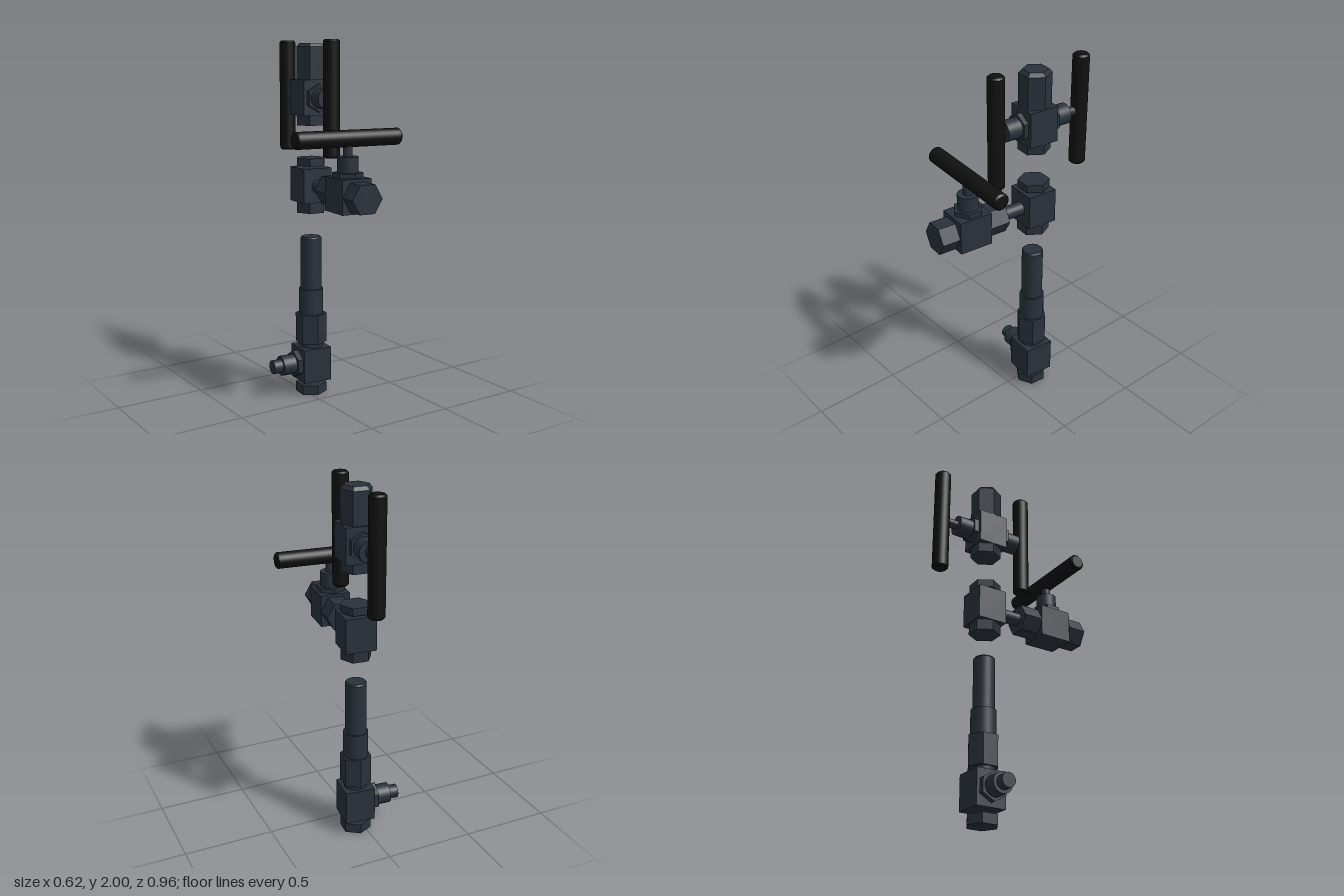
import * as THREE from 'three';

const steel = new THREE.MeshStandardMaterial({ color: 0x29313b });
const steelFlat = new THREE.MeshStandardMaterial({ color: 0x29313b, flatShading: true });
const black = new THREE.MeshStandardMaterial({ color: 0x111111 });

// Empty group whose local y is the axis of the parts inside it
function axis(parent, name, pos, rot = [0, 0, 0]) {
  const g = new THREE.Group();
  g.name = name;
  g.position.set(...pos);
  g.rotation.set(...rot);
  parent.add(g);
  return g;
}

function add(parent, name, geo, mat) {
  const m = new THREE.Mesh(geo, mat);
  m.name = name;
  parent.add(m);
  return m;
}

// Round section between heights a and b
function round(parent, name, r, a, b, r2 = r, mat = steel) {
  const geo = new THREE.CylinderGeometry(r2, r, b - a, 28);
  return add(parent, name, geo.translate(0, (a + b) / 2, 0), mat);
}

// Hexagonal section; spin turns the corners from z to x
function hex(parent, name, r, a, b, spin = false, r2 = r) {
  const geo = new THREE.CylinderGeometry(r2, r, b - a, 6);
  if (spin) geo.rotateY(Math.PI / 6);
  return add(parent, name, geo.translate(0, (a + b) / 2, 0), steelFlat);
}

function block(parent, name, s, a, b, depth = s) {
  const geo = new THREE.BoxGeometry(s, b - a, depth);
  return add(parent, name, geo.translate(0, (a + b) / 2, 0), steel);
}

// Bar handle with bevelled ends, centred on its own middle
function handle(parent, pos, rot) {
  const g = axis(parent, 'handleBar', pos, rot);
  const h = 0.31, r = 0.045, c = 0.01;
  round(g, 'grip', r, -h + c, h - c, r, black);
  round(g, 'gripEnd', r, h - c, h, r - c, black);
  round(g, 'gripEnd', r - c, -h, -h + c, r, black);
}

export function createModel() {
  const model = new THREE.Group();
  model.name = 'valveAssembly';
  const root = axis(model, 'column', [0.038, 0, -0.145], [0, -0.095, 0]);
  const Q = Math.PI / 2;

  // Lower fitting with stepped pipe
  const lower = axis(root, 'lowerFitting', [0, 0, 0]);
  hex(lower, 'bottomNut', 0.088, 0, 0.055);
  block(lower, 'lowerBlock', 0.17, 0.08, 0.275);
  round(lower, 'neck', 0.066, 0.275, 0.3);
  hex(lower, 'pipeNut', 0.088, 0.3, 0.47);
  round(lower, 'pipeSleeve', 0.069, 0.47, 0.615);
  round(lower, 'pipe', 0.059, 0.615, 0.907);
  round(lower, 'pipeBevel', 0.059, 0.907, 0.915, 0.053);

  // Side port on the right
  const port = axis(lower, 'sidePort', [0, 0.18, 0], [0, 0, Q]);
  hex(port, 'portNut', 0.078, 0.08, 0.117, true);
  round(port, 'portSleeve', 0.057, 0.117, 0.195);
  round(port, 'portTip', 0.039, 0.195, 0.247);

  // Middle tee
  const middle = axis(root, 'middleTee', [0, 0, 0]);
  hex(middle, 'lowerTeeNut', 0.086, 1.055, 1.115, true);
  block(middle, 'teeBlock', 0.17, 1.115, 1.307);
  hex(middle, 'upperTeeNut', 0.086, 1.317, 1.36, true);

  // Front valve reaching out of the tee
  const valve = axis(middle, 'frontValve', [0, 1.207, 0], [Q, 0, 0]);
  round(valve, 'connector', 0.037, 0.08, 0.22);
  hex(valve, 'rearNut', 0.087, 0.212, 0.325, true);
  block(valve, 'valveBody', 0.168, 0.325, 0.513, 0.182);
  hex(valve, 'frontNut', 0.087, 0.519, 0.62, true);

  // Bonnet and cross handle of the front valve
  const bonnet = axis(middle, 'bonnet', [0, 0, 0.415]);
  hex(bonnet, 'bonnetNut', 0.081, 1.295, 1.323);
  round(bonnet, 'bonnetSleeve', 0.056, 1.323, 1.405);
  round(bonnet, 'stem', 0.025, 1.405, 1.48);
  handle(bonnet, [0, 1.497, 0], [0, 0, Q]);

  // Upper double valve
  const upper = axis(root, 'upperValve', [0, 0, 0]);
  hex(upper, 'lowerNut', 0.086, 1.54, 1.595, true);
  block(upper, 'upperBlock', 0.17, 1.595, 1.788);
  hex(upper, 'topNut', 0.086, 1.788, 1.963, true);
  hex(upper, 'topNutBevel', 0.086, 1.963, 1.982, true, 0.068);

  // Front and back stems with upright handles
  for (const [name, rot, reach] of [['frontStem', Q, 0.238], ['backStem', -Q, 0.289]]) {
    const s = axis(upper, name, [0, 1.69, 0], [rot, 0, 0]);
    hex(s, 'packingNut', 0.076, 0.08, 0.112);
    round(s, 'packingSleeve', 0.056, 0.112, 0.195);
    round(s, 'stem', 0.025, 0.195, reach);
    handle(s, [0, reach, 0], [Q, 0, 0]);
  }
  return model;
}
